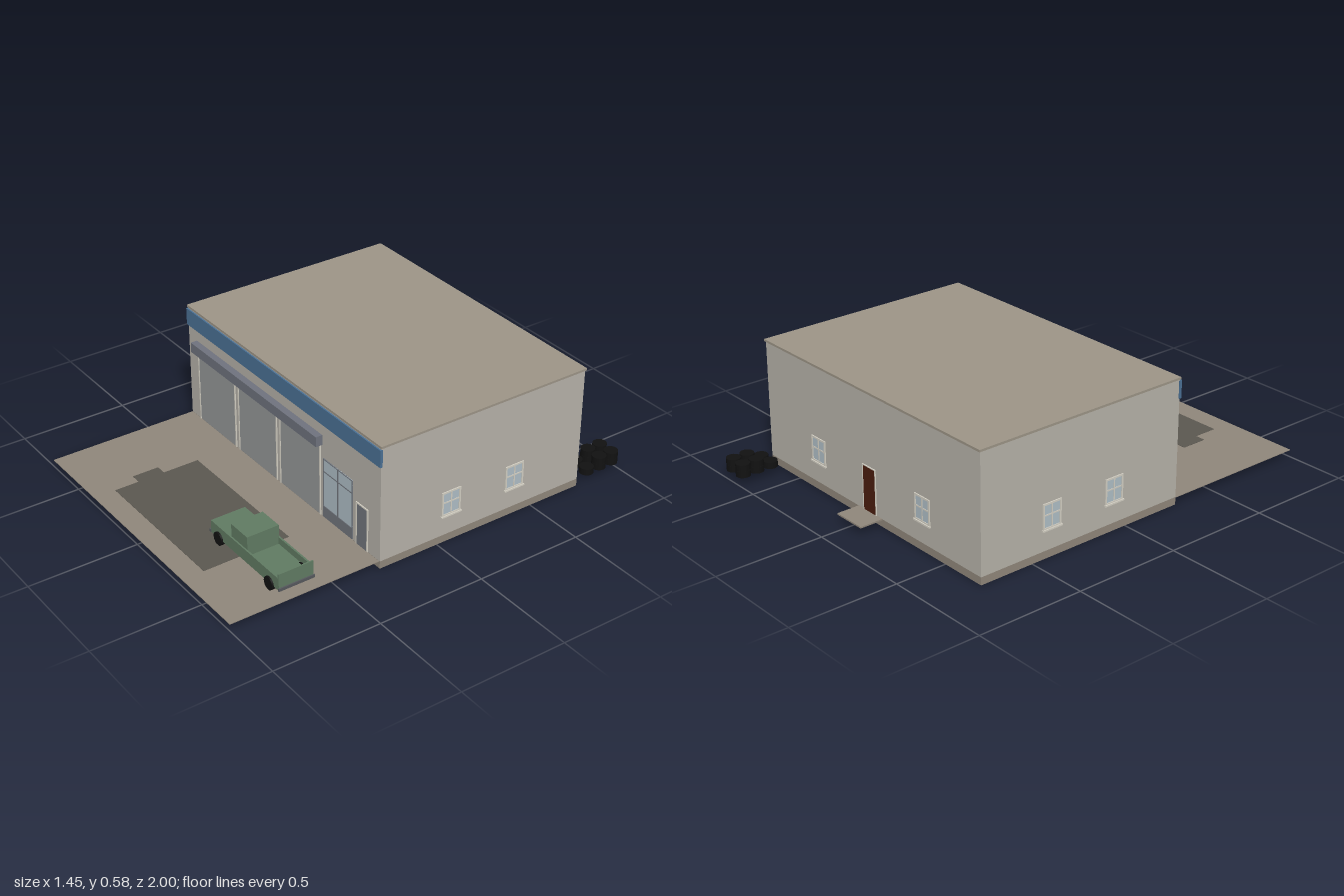
import * as THREE from 'three';

const mat = (color, extra = {}) => new THREE.MeshStandardMaterial({ color, ...extra });
const M = {
  wall: mat(0xb5b1a8), plinth: mat(0x8f867a), roof: mat(0x9c9486), paving: mat(0x8f867a),
  patch: mat(0x5a5750), fascia: mat(0x4a7094), awning: mat(0x6e727d), shutter: mat(0x949696),
  frame: mat(0xd2cec2), glass: mat(0xaebdc5), steel: mat(0x70757c), wood: mat(0x4a1c0e),
  paint: mat(0x607a62), rubber: mat(0x111111), bumper: mat(0x55585c),
};

// box given by its limits on each axis
function box(parent, name, material, [x0, x1], [y0, y1], [z0, z1]) {
  const mesh = new THREE.Mesh(new THREE.BoxGeometry(x1 - x0, y1 - y0, z1 - z0), material);
  mesh.position.set((x0 + x1) / 2, (y0 + y1) / 2, (z0 + z1) / 2);
  mesh.name = name;
  parent.add(mesh);
  return mesh;
}

function cylinder(parent, name, material, r, h, x, y, z, lying = false) {
  const mesh = new THREE.Mesh(new THREE.CylinderGeometry(r, r, h, 20), material);
  mesh.position.set(x, y, z);
  if (lying) mesh.rotation.x = Math.PI / 2;
  mesh.name = name;
  parent.add(mesh);
}

function group(parent, name) {
  const g = new THREE.Group();
  g.name = name;
  parent.add(g);
  return g;
}

// rectangular border on a wall that faces +z, open at the bottom if asked
function border(parent, material, x0, x1, y0, y1, t, depth, bottom = true) {
  box(parent, 'frameLeft', material, [x0, x0 + t], [y0, y1], [0, depth]);
  box(parent, 'frameRight', material, [x1 - t, x1], [y0, y1], [0, depth]);
  box(parent, 'frameTop', material, [x0 + t, x1 - t], [y1 - t, y1], [0, depth]);
  if (bottom) box(parent, 'frameBottom', material, [x0 + t, x1 - t], [y0, y0 + t], [0, depth]);
}

// small cross-barred window, turned to face its wall
function smallWindow(parent, x, z, angle) {
  const w = group(parent, 'window');
  box(w, 'glass', M.glass, [-0.043, 0.043], [0.135, 0.24], [0, 0.002]);
  border(w, M.frame, -0.048, 0.048, 0.13, 0.245, 0.008, 0.005);
  box(w, 'mullion', M.frame, [-0.003, 0.003], [0.135, 0.24], [0, 0.004]);
  box(w, 'transom', M.frame, [-0.043, 0.043], [0.19, 0.196], [0, 0.004]);
  box(w, 'sill', M.frame, [-0.052, 0.052], [0.125, 0.132], [0, 0.01]);
  w.position.set(x, 0, z);
  w.rotation.y = angle;
}

function buildBuilding(root) {
  const b = group(root, 'building');
  box(b, 'plinth', M.plinth, [-0.72, 0.71], [0, 0.035], [-0.76, 0.29]);
  box(b, 'walls', M.wall, [-0.72, 0.71], [0.035, 0.57], [-0.76, 0.29]);
  box(b, 'roof', M.roof, [-0.725, 0.713], [0.57, 0.58], [-0.767, 0.292]);
  box(b, 'fascia', M.fascia, [-0.724, 0.713], [0.485, 0.565], [0.285, 0.297]);
  box(b, 'awning', M.awning, [-0.655, 0.31], [0.383, 0.43], [0.29, 0.322]);

  // front openings
  const f = group(b, 'frontOpenings');
  f.position.z = 0.29;
  for (const x of [-0.645, -0.322, 0]) {
    const door = group(f, 'garageDoor');
    box(door, 'shutter', M.shutter, [x + 0.004, x + 0.296], [0.037, 0.38], [0, 0.002]);
    border(door, M.frame, x, x + 0.3, 0.036, 0.383, 0.006, 0.005, false);
  }
  const shop = group(f, 'shopWindow');
  box(shop, 'glass', M.glass, [0.32, 0.525], [0.09, 0.325], [0, 0.002]);
  box(shop, 'lowerPanel', M.steel, [0.32, 0.525], [0.04, 0.09], [0, 0.005]);
  border(shop, M.steel, 0.32, 0.525, 0.09, 0.325, 0.004, 0.005);
  box(shop, 'mullion', M.steel, [0.42, 0.425], [0.09, 0.325], [0, 0.004]);
  box(shop, 'transom', M.steel, [0.32, 0.525], [0.26, 0.265], [0, 0.004]);
  const entry = group(f, 'entranceDoor');
  box(entry, 'doorLeaf', M.steel, [0.555, 0.625], [0.036, 0.235], [0, 0.003]);
  border(entry, M.frame, 0.55, 0.63, 0.036, 0.24, 0.006, 0.005, false);

  // side and back windows
  for (const z of [-0.067, -0.4]) {
    smallWindow(b, 0.71, z, Math.PI / 2);
    smallWindow(b, -0.72, z, -Math.PI / 2);
  }
  for (const x of [-0.36, 0.345]) smallWindow(b, x, -0.76, Math.PI);

  // back door and its step
  const back = group(b, 'backDoor');
  back.position.set(-0.01, 0, -0.76);
  back.rotation.y = Math.PI;
  box(back, 'doorLeaf', M.wood, [-0.04, 0.04], [0.036, 0.24], [0, 0.003]);
  border(back, M.frame, -0.044, 0.044, 0.036, 0.244, 0.004, 0.005, false);
  box(b, 'backStep', M.paving, [-0.09, 0.07], [0.03, 0.037], [-0.87, -0.76]);
}

function buildApron(root) {
  box(root, 'forecourt', M.paving, [-0.72, 0.705], [0.031, 0.034], [0.29, 1]);
  box(root, 'darkPatch', M.patch, [-0.355, 0.355], [0.034, 0.0352], [0.49, 0.9]);
  box(root, 'darkPatchTab', M.patch, [-0.405, -0.355], [0.034, 0.0352], [0.66, 0.785]);
}

function buildTruck(root) {
  const t = group(root, 'pickupTruck');
  const side = [0.585, 0.75];
  box(t, 'hood', M.paint, [0.175, 0.435], [0.062, 0.12], side);
  box(t, 'cab', M.paint, [0.32, 0.437], [0.12, 0.18], [0.592, 0.743]);
  box(t, 'bedFloor', M.paint, [0.435, 0.665], [0.062, 0.088], side);
  for (const z of [0.585, 0.742]) box(t, 'bedSide', M.paint, [0.435, 0.665], [0.088, 0.12], [z, z + 0.008]);
  box(t, 'tailgate', M.paint, [0.664, 0.67], [0.07, 0.14], side);
  box(t, 'frontBumper', M.bumper, [0.165, 0.175], [0.062, 0.075], [0.582, 0.753]);
  box(t, 'rearBumper', M.bumper, [0.67, 0.676], [0.062, 0.075], [0.582, 0.753]);
  for (const x of [0.235, 0.605])
    for (const z of [0.588, 0.747]) cylinder(t, 'wheel', M.rubber, 0.03, 0.022, x, 0.064, z, true);
}

function buildTyres(root) {
  const stacks = group(root, 'tyreStacks');
  for (const x of [0.62, 0.692])
    [-0.83, -0.9, -0.968].forEach((z, row) => {
      for (let i = 0; i < (row ? 2 : 1); i++)
        cylinder(stacks, 'tyre', M.rubber, 0.032, 0.029, x, 0.05 + i * 0.03, z);
    });
}

export function createModel() {
  const root = new THREE.Group();
  root.name = 'garage';
  buildBuilding(root);
  buildApron(root);
  buildTruck(root);
  buildTyres(root);
  return root;
}
